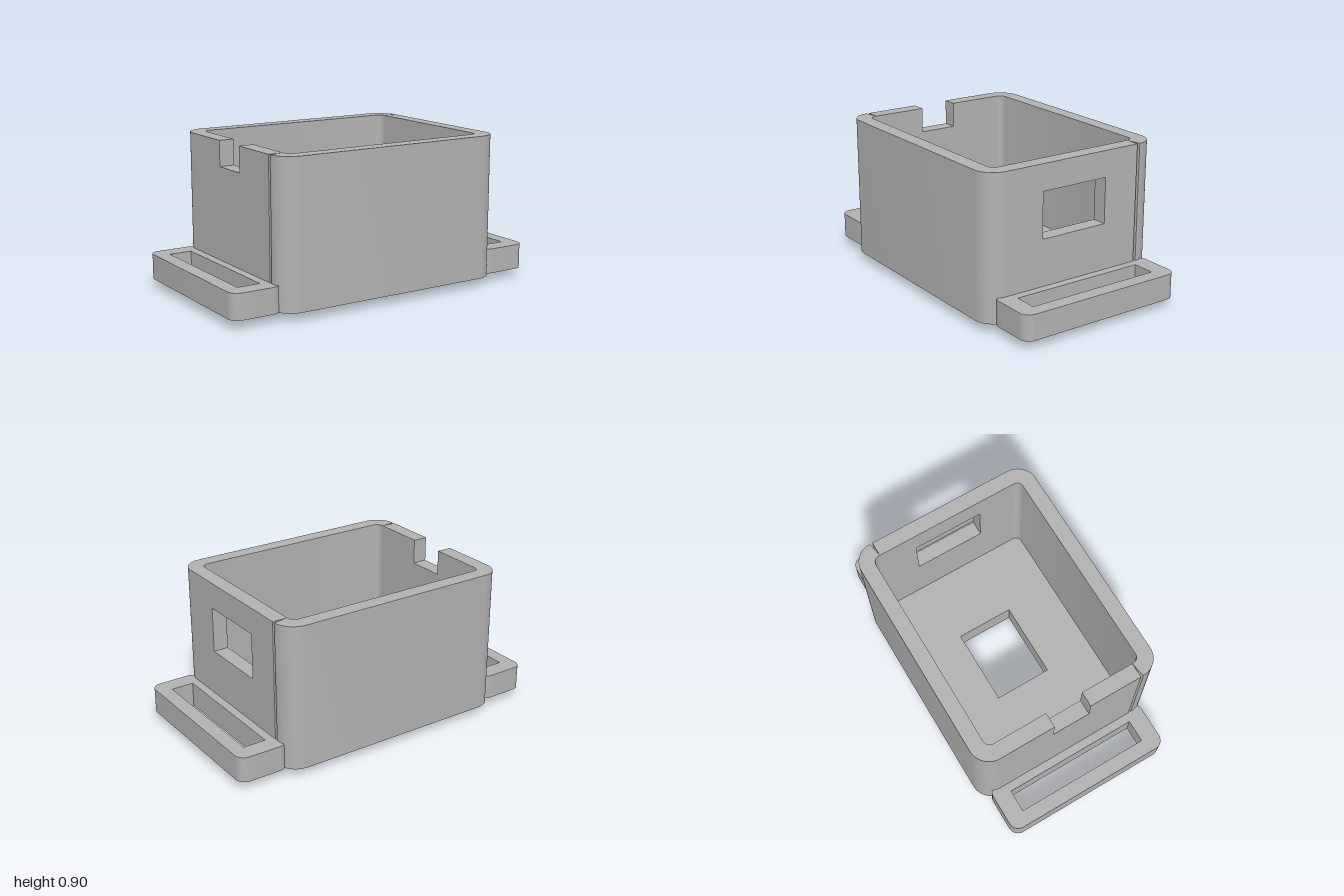
import * as THREE from 'three';
import { toCreasedNormals } from 'three/addons/utils/BufferGeometryUtils.js';

const W = 0.73, D = 0.577, WALL = 0.09;   // body half width, half depth, wall thickness
const BASE = 0.05, FLOOR = 0.14, TOP = 0.9;
const R_OUT = 0.12, R_IN = 0.04, SEAM = 0.44;

// Rectangle centred on the origin, with optional rounded corners
function rect(Path, hw, hd, r = 0) {
  const p = new Path();
  if (!r) {
    p.moveTo(-hw, -hd).lineTo(hw, -hd).lineTo(hw, hd).lineTo(-hw, hd).closePath();
    return p;
  }
  p.moveTo(-hw + r, -hd);
  p.absarc(hw - r, -hd + r, r, -Math.PI / 2, 0);
  p.absarc(hw - r, hd - r, r, 0, Math.PI / 2);
  p.absarc(-hw + r, hd - r, r, Math.PI / 2, Math.PI);
  p.absarc(-hw + r, -hd + r, r, Math.PI, Math.PI * 1.5);
  p.closePath();
  return p;
}

function polygon(Path, points) {
  return new Path(points.map(([x, y]) => new THREE.Vector2(x, y)));
}

function extrude(shape, depth) {
  return new THREE.ExtrudeGeometry(shape, { depth, bevelEnabled: false, curveSegments: 10 });
}

// Plan outline raised from y0 to y1
function raise(shape, y0, y1) {
  return toCreasedNormals(extrude(shape, y1 - y0).rotateX(-Math.PI / 2).translate(0, y0, 0), 0.5);
}

// Side wall drawn in (z, y), given thickness inwards from x
function sideWall(shape, x) {
  return extrude(shape, WALL).rotateY(-Math.PI / 2).translate(x, 0, 0);
}

export function createModel() {
  const group = new THREE.Group();
  const grey = new THREE.MeshStandardMaterial({ color: 0xb2b2b2 });
  grey.name = 'light grey plastic';
  const add = (name, geometry) => {
    const mesh = new THREE.Mesh(geometry, grey);
    mesh.name = name;
    group.add(mesh);
    return mesh;
  };

  // Floor and the raised rim below it share one opening
  const floor = rect(THREE.Shape, W - WALL, D - WALL, R_IN);
  floor.holes.push(rect(THREE.Path, 0.2325, 0.175));
  add('floor', raise(floor, BASE, FLOOR));

  const rim = rect(THREE.Shape, 0.33, 0.27, 0.08);
  rim.holes.push(rect(THREE.Path, 0.2325, 0.175));
  add('bottomRim', raise(rim, 0, BASE));

  // Front and back walls with their rounded corners
  const iw = W - WALL, id = D - WALL;
  const wall = new THREE.Shape();
  wall.moveTo(W, SEAM);
  wall.absarc(W - R_OUT, D - R_OUT, R_OUT, 0, Math.PI / 2);
  wall.absarc(-W + R_OUT, D - R_OUT, R_OUT, Math.PI / 2, Math.PI);
  wall.lineTo(-W, SEAM).lineTo(-iw, SEAM);
  wall.absarc(-iw + R_IN, id - R_IN, R_IN, Math.PI, Math.PI / 2, true);
  wall.absarc(iw - R_IN, id - R_IN, R_IN, Math.PI / 2, 0, true);
  wall.lineTo(iw, SEAM).closePath();
  const wallGeometry = raise(wall, BASE, TOP);
  add('backWall', wallGeometry);
  add('frontWall', wallGeometry).rotation.y = Math.PI;

  // Left wall with a rectangular window
  const windowWall = polygon(THREE.Shape, [[-SEAM, BASE], [SEAM, BASE], [SEAM, TOP], [-SEAM, TOP]]);
  windowWall.holes.push(polygon(THREE.Path,
    [[-0.215, 0.475], [-0.215, 0.745], [0.215, 0.745], [0.215, 0.475]]));
  add('leftWallWithWindow', sideWall(windowWall, W));

  // Right wall with a notch in its top edge
  const n = 0.115, notchY = 0.75;
  const notchWall = polygon(THREE.Shape, [[-SEAM, BASE], [SEAM, BASE], [SEAM, TOP], [n, TOP],
    [n, notchY], [-n, notchY], [-n, TOP], [-SEAM, TOP]]);
  add('rightWallWithNotch', sideWall(notchWall, -W + WALL));

  // Slotted strap lugs on both sides
  const lug = rect(THREE.Shape, 0.1525, 0.522, 0.06);
  lug.holes.push(rect(THREE.Path, 0.068, 0.415));
  const lugGeometry = raise(lug, BASE, 0.2);
  for (const [name, side] of [['leftStrapLug', 1], ['rightStrapLug', -1]]) {
    add(name, lugGeometry).position.x = side * 0.8475;
  }

  return group;
}
